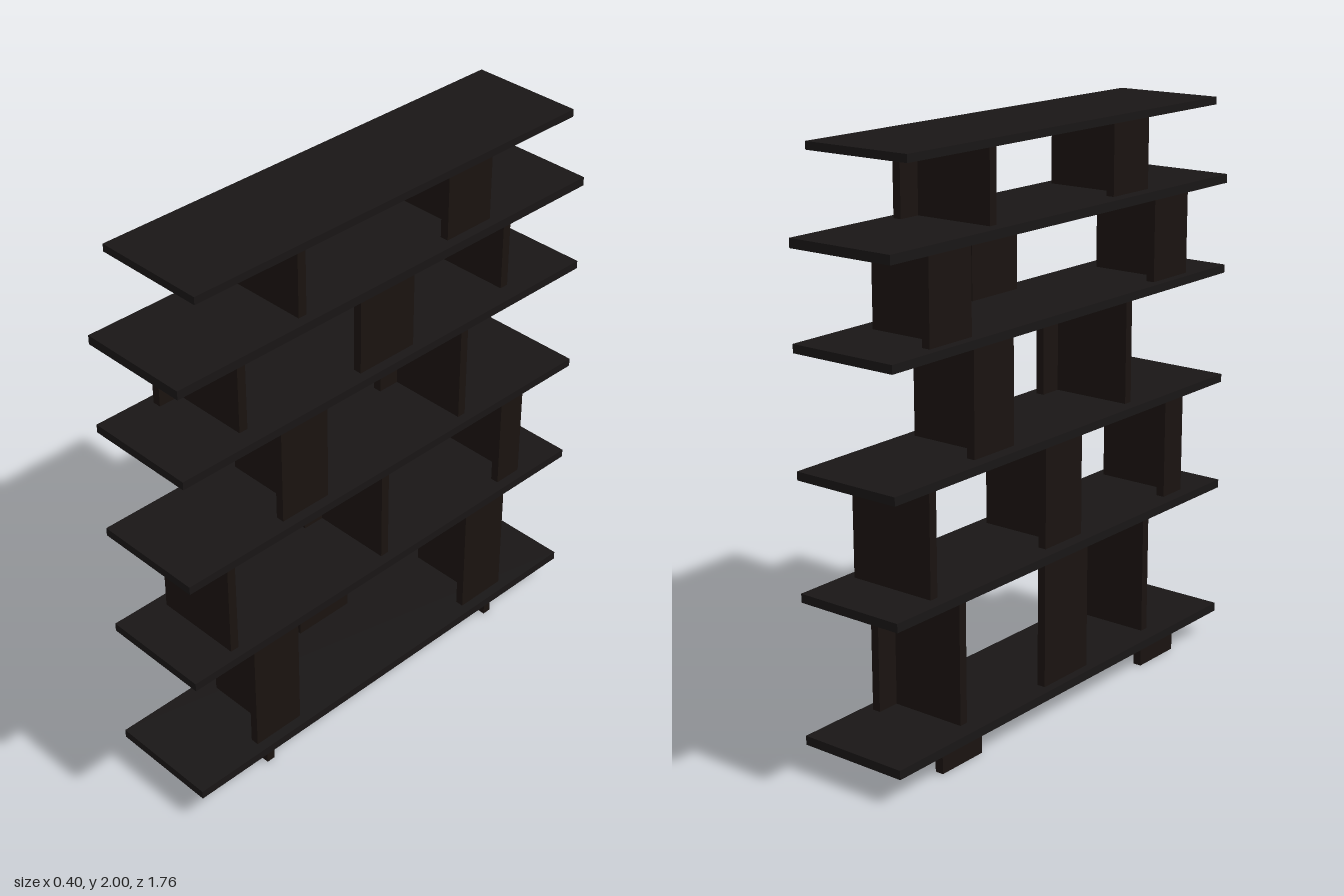
import * as THREE from 'three';

const shelfMat = new THREE.MeshStandardMaterial({ color: 0x191616 });
const postMat = new THREE.MeshStandardMaterial({ color: 0x1a1310 });
const T = 0.03; // board thickness

// Box given by its limits on each axis
function board(name, mat, [x0, x1], [y0, y1], [z0, z1]) {
  const mesh = new THREE.Mesh(new THREE.BoxGeometry(x1 - x0, y1 - y0, z1 - z0), mat);
  mesh.position.set((x0 + x1) / 2, (y0 + y1) / 2, (z0 + z1) / 2);
  mesh.name = name;
  return mesh;
}

// T- or L-shaped post: flange on the given side (+1 = +x), web running across to xEnd.
// webZ is the centre of the web.
function post(name, side, y, z, webZ, xFlange, xEnd) {
  const g = new THREE.Group();
  g.name = name;
  const inner = xFlange - side * T;
  const sorted = (a, b) => [Math.min(a, b), Math.max(a, b)];
  g.add(board('flange', postMat, sorted(inner, xFlange), y, z));
  g.add(board('web', postMat, sorted(inner, xEnd), y, [webZ - 0.016, webZ + 0.016]));
  return g;
}

const teePost = (name, side, y, zc, xFlange, xEnd) =>
  post(name, side, y, [zc - 0.098, zc + 0.098], zc, xFlange, xEnd);

export function createModel() {
  const model = new THREE.Group();
  model.name = 'shelvingUnit';

  // Shelves: bottom, top, half length
  const shelves = [
    [0.083, 0.114, 0.88], [0.568, 0.598, 0.88], [0.969, 0.998, 0.88],
    [1.371, 1.4, 0.88], [1.692, 1.723, 0.88], [1.974, 2, 0.8],
  ];
  shelves.forEach(([y0, y1, h], i) =>
    model.add(board('shelf' + (i + 1), shelfMat, [-0.2, 0.2], [y0, y1], [-h, h])));
  // Vertical span between shelf i and the next one
  const gap = (i) => [shelves[i][1], shelves[i + 1][0]];

  // Feet
  for (const z of [0.545, -0.545])
    model.add(teePost('foot', -1, [0, shelves[0][0]], z, -0.168, 0.165));

  // First tier: two T posts and a flat panel on the opposite side
  for (const z of [0.505, -0.505])
    model.add(teePost('firstTierPost', 1, gap(0), z, 0.165, -0.14));
  model.add(board('firstTierPanel', postMat, [-0.168, -0.138], gap(0), [-0.115, 0.12]));

  // Second tier: L posts near the ends and a T post in the middle
  model.add(post('frontCornerPost', -1, gap(1), [0.592, 0.7], 0.684, -0.155, 0.165));
  model.add(post('backCornerPost', 1, gap(1), [-0.675, -0.567], -0.659, 0.165, -0.155));
  model.add(teePost('secondTierPost', -1, gap(1), 0.003, -0.155, 0.165));

  // Third tier: T posts facing opposite ways
  model.add(teePost('thirdTierFrontPost', 1, gap(2), 0.363, 0.165, -0.155));
  model.add(teePost('thirdTierBackPost', -1, gap(2), -0.36, -0.155, 0.165));

  // Fourth tier: two T posts and a flat panel
  for (const z of [0.585, -0.58])
    model.add(teePost('fourthTierPost', -1, gap(3), z, -0.168, 0.135));
  model.add(board('fourthTierPanel', postMat, [0.135, 0.165], gap(3), [-0.115, 0.12]));

  // Fifth tier: T posts facing opposite ways
  model.add(teePost('fifthTierFrontPost', -1, gap(4), 0.363, -0.155, 0.165));
  model.add(teePost('fifthTierBackPost', 1, gap(4), -0.36, 0.165, -0.155));

  return model;
}
